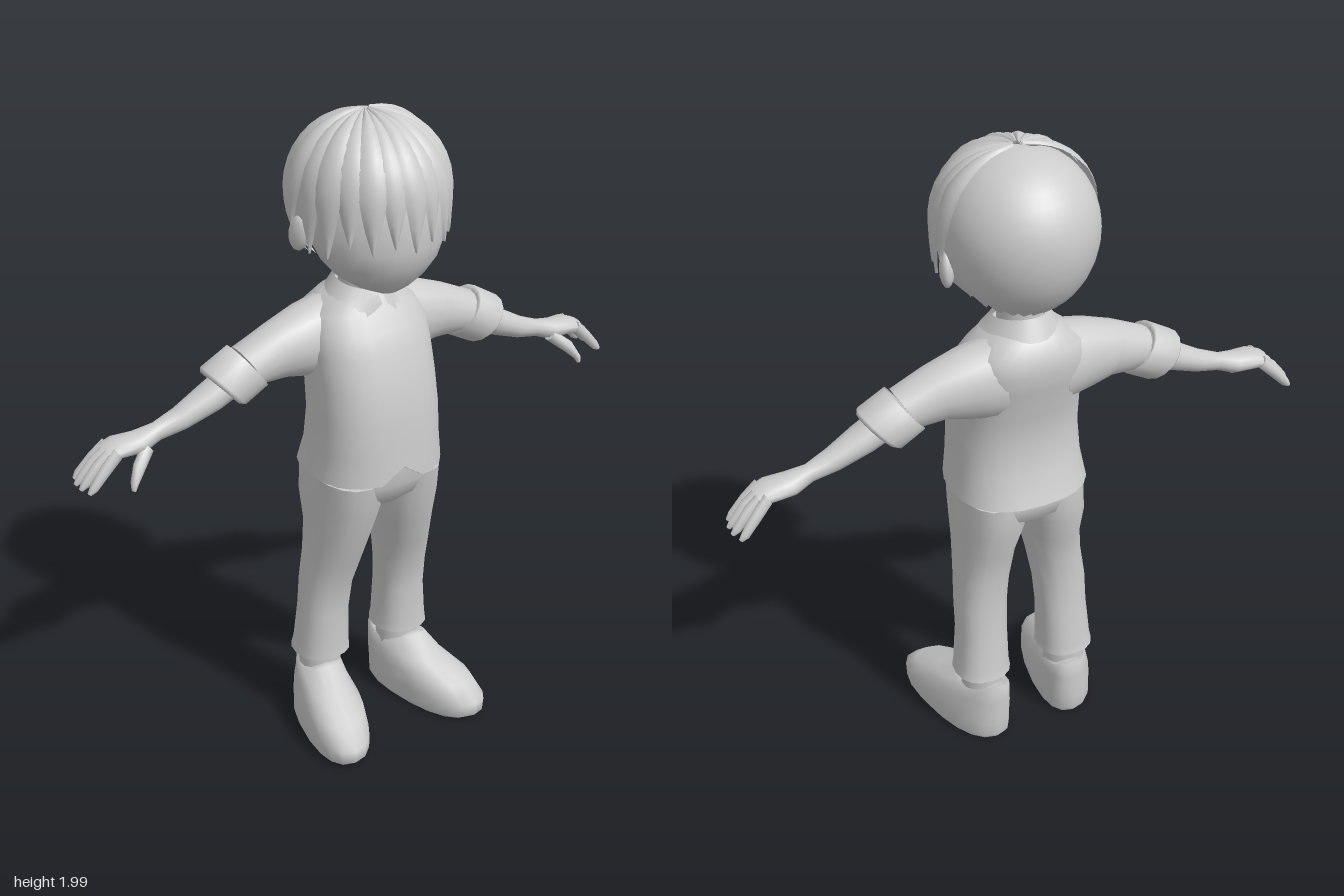
import * as THREE from 'three';

const grey = new THREE.MeshStandardMaterial({ color: 0xcccccc });
const greyThin = new THREE.MeshStandardMaterial({ color: 0xcccccc, side: THREE.DoubleSide });
const V = (x, y, z) => new THREE.Vector3(x, y, z);
const spow = (a, p) => Math.sign(a) * Math.abs(a) ** p;
const rad = THREE.MathUtils.degToRad;

// Closed cross-section around c; p below 1 makes it squarer
function ring(c, a, b, n, p = 1) {
  return Array.from({ length: n }, (_, i) => {
    const t = (i / n) * Math.PI * 2;
    return c.clone().addScaledVector(a, spow(Math.cos(t), p)).addScaledVector(b, spow(Math.sin(t), p));
  });
}
// Level section: height, centre x, half width, front z, back z
const level = (n, p) => ([y, cx, rx, zf, zb]) =>
  ring(V(cx, y, (zf + zb) / 2), V(0, 0, (zf - zb) / 2), V(rx, 0, 0), n, p);
// Limb section: top x, y, bottom x, y, centre z, half depth
const limb = (n) => ([tx, ty, bx, by, cz, rz]) =>
  ring(V((tx + bx) / 2, (ty + by) / 2, cz), V((tx - bx) / 2, (ty - by) / 2, 0), V(0, 0, rz), n);

// Skin over a row of sections, with flat end caps
function loft(rings) {
  const n = rings[0].length, pts = rings.flat(), index = [];
  for (let i = 0; i < rings.length - 1; i++)
    for (let j = 0; j < n; j++) {
      const k = (j + 1) % n, a = i * n + j, b = i * n + k;
      index.push(a, b, b + n, a, b + n, a + n);
    }
  [rings[0], rings[rings.length - 1]].forEach((r, end) => {
    const base = pts.length;
    const mid = r.reduce((s, q) => s.add(q), V(0, 0, 0)).divideScalar(n);
    pts.push(...r, mid);
    for (let j = 0; j < n; j++) {
      const a = base + j, b = base + ((j + 1) % n);
      index.push(base + n, end ? a : b, end ? b : a);
    }
  });
  const g = new THREE.BufferGeometry().setFromPoints(pts);
  g.setIndex(index);
  g.computeVertexNormals();
  return g;
}
// Thin sheet shaped by f(u, v)
function sheet(nu, nv, f) {
  const g = new THREE.PlaneGeometry(1, 1, nu, nv), pos = g.attributes.position, uv = g.attributes.uv;
  for (let i = 0; i < pos.count; i++) pos.setXYZ(i, ...f(uv.getX(i), uv.getY(i)));
  g.computeVertexNormals();
  return g;
}
function mirrored(geo) {
  const g = geo.clone().scale(-1, 1, 1), ix = g.index.array;
  for (let i = 0; i < ix.length; i += 3) [ix[i], ix[i + 1]] = [ix[i + 1], ix[i]];
  return g;
}

export function createModel() {
  const model = new THREE.Group();
  const add = (name, geo, mat = grey) => {
    const m = new THREE.Mesh(geo, mat);
    m.name = name;
    model.add(m);
  };
  const pair = (name, geo, mat) => {
    add('left' + name, geo, mat);
    add('right' + name, mirrored(geo), mat);
  };

  // Shirt body, with a notch at the front of the hem
  const shirt = [
    [0.91, 0, 0.212, 0.185, -0.205], [1.0, 0, 0.2, 0.18, -0.17], [1.1, 0, 0.196, 0.173, -0.152],
    [1.2, 0, 0.193, 0.157, -0.165], [1.3, 0, 0.195, 0.125, -0.19], [1.36, 0, 0.192, 0.1, -0.2],
    [1.41, 0, 0.17, 0.065, -0.193], [1.45, 0, 0.12, 0.045, -0.165], [1.475, 0, 0.08, 0.02, -0.13],
  ].map(level(24, 0.8));
  shirt[0][0].y += 0.05;
  add('shirt', loft(shirt));

  // Collar with two front points
  add('collar', sheet(30, 2, (u, v) => {
    const d = 4 + 352 * u, a = rad(d), side = Math.min(d, 360 - d);
    const low = 1.45 - 0.045 * Math.max(0, 1 - Math.abs(side - 28) / 28);
    const high = 1.495 - 0.015 * Math.cos(a);
    const r = 0.122 - 0.035 * v;
    return [Math.sin(a) * r * 0.95, low + (high - low) * v, -0.045 + Math.cos(a) * r];
  }), greyThin);
  add('neck', loft([[1.42, 0, 0.07, 0.02, -0.12], [1.6, 0, 0.068, 0.03, -0.12]].map(level(16))));

  // Sleeves and rolled cuffs
  pair('Sleeve', loft([
    [0.09, 1.455, 0.1, 1.19, -0.08, 0.1], [0.2, 1.43, 0.19, 1.21, -0.075, 0.096],
    [0.3, 1.395, 0.26, 1.225, -0.07, 0.08], [0.41, 1.345, 0.34, 1.225, -0.07, 0.072],
  ].map(limb(16))));
  pair('Cuff', loft([
    [0.42, 1.335, 0.335, 1.235, -0.07, 0.065], [0.427, 1.355, 0.325, 1.217, -0.07, 0.08],
    [0.512, 1.305, 0.4, 1.178, -0.07, 0.086], [0.515, 1.29, 0.42, 1.185, -0.07, 0.075],
    [0.49, 1.285, 0.42, 1.21, -0.07, 0.06],
  ].map(limb(16))));

  // Forearm and palm
  pair('Arm', loft([
    [0.44, 1.305, 0.4, 1.22, -0.065, 0.056], [0.53, 1.255, 0.48, 1.182, -0.065, 0.053],
    [0.61, 1.21, 0.585, 1.145, -0.067, 0.04], [0.68, 1.182, 0.665, 1.128, -0.07, 0.027],
    [0.74, 1.17, 0.72, 1.108, -0.07, 0.045], [0.8, 1.165, 0.785, 1.112, -0.073, 0.054],
    [0.84, 1.148, 0.815, 1.115, -0.074, 0.051],
  ].map(limb(14))));
  for (let i = 0; i < 4; i++) {
    const k = -0.112 + i * 0.026, tip = -0.135 + i * 0.036, s = [-0.012, 0, 0, -0.01][i];
    pair('Finger' + (i + 1), loft([
      [0.82, 1.155, 0.8, 1.12, k, 0.015], [0.872 + s, 1.115, 0.85 + s, 1.085, (k + tip) / 2, 0.015],
      [0.912 + s, 1.066, 0.893 + s, 1.045, tip, 0.012], [0.922 + s, 1.045, 0.912 + s, 1.036, tip, 0.006],
    ].map(limb(8))));
  }
  pair('Thumb', loft([
    [0.725, 1.145, 0.7, 1.115, -0.045, 0.022], [0.775, 1.105, 0.75, 1.075, -0.008, 0.02],
    [0.797, 1.06, 0.777, 1.05, 0.01, 0.014], [0.798, 1.04, 0.785, 1.035, 0.014, 0.007],
  ].map(limb(8))));

  // Trousers
  add('hips', loft([
    [0.8, 0, 0.13, 0.1, -0.12], [0.84, 0, 0.19, 0.145, -0.168], [0.89, 0, 0.2, 0.165, -0.177],
    [0.95, 0, 0.195, 0.17, -0.165],
  ].map(level(24, 0.8))));
  pair('TrouserLeg', loft([
    [0.24, 0.148, 0.09, 0.022, -0.158], [0.27, 0.147, 0.086, 0.02, -0.15], [0.4, 0.142, 0.08, 0.02, -0.135],
    [0.5, 0.138, 0.082, 0.035, -0.128], [0.6, 0.126, 0.082, 0.075, -0.13], [0.7, 0.113, 0.088, 0.11, -0.14],
    [0.8, 0.103, 0.1, 0.143, -0.175], [0.9, 0.1, 0.1, 0.16, -0.172],
  ].map(level(16, 0.85))));
  pair('Ankle', loft([[0.15, 0.148, 0.068, -0.005, -0.14], [0.27, 0.148, 0.068, -0.005, -0.14]].map(level(14))));

  // Shoes, turned outward, with an opening that dips at the sides
  const shoe = [
    [0.005, 0.183, 0.092, 0.25, -0.165], [0.02, 0.183, 0.1, 0.27, -0.173], [0.065, 0.183, 0.1, 0.275, -0.175],
    [0.115, 0.18, 0.096, 0.22, -0.173], [0.15, 0.178, 0.08, 0.1, -0.172], [0.2, 0.176, 0.07, 0.02, -0.17],
    [0.195, 0.174, 0.05, -0.01, -0.15],
  ].map(level(18, 0.85));
  shoe.forEach((r, i) => r.forEach((q, j) => {
    q.x += 0.2 * (q.z - 0.05);
    if (i > 4) q.y += 0.013 * Math.cos((j / 18) * Math.PI * 4);
  }));
  pair('Shoe', loft(shoe));

  // Head and ears
  add('head', loft([
    [1.492, 0, 0.035, 0.12, 0.06], [1.51, 0, 0.085, 0.145, -0.03], [1.545, 0, 0.135, 0.178, -0.08],
    [1.59, 0, 0.175, 0.202, -0.11], [1.64, 0, 0.197, 0.215, -0.14], [1.7, 0, 0.208, 0.215, -0.17],
    [1.78, 0, 0.21, 0.21, -0.2], [1.86, 0, 0.19, 0.175, -0.19], [1.92, 0, 0.14, 0.12, -0.15],
    [1.96, 0, 0.07, 0.05, -0.09],
  ].map(level(24))));
  pair('Ear', new THREE.SphereGeometry(1, 12, 8).scale(0.022, 0.055, 0.034)
    .rotateX(0.2).rotateY(-0.4).translate(0.217, 1.67, -0.03));

  // Back hair: half shell with a ragged nape
  add('backHair', sheet(28, 14, (u, v) => {
    const th = rad(80 + 200 * u), back = Math.max(0, -Math.cos(th));
    const tooth = Math.round(u * 28) % 2 ? 5 : -5;
    const t = rad(2 + (1 - v) * (114 + 30 * back ** 0.7 + tooth * (v < 0.01 ? 1 : 0)));
    const r = Math.sin(t) ** (t < Math.PI / 2 ? 0.92 : 1), c = Math.cos(t);
    return [0.225 * r * Math.sin(th), 1.76 + c * (c > 0 ? 0.225 : 0.26), -0.04 + 0.235 * r * Math.cos(th)];
  }), greyThin);

  // Fringe: pointed locks fanning forward from the crown
  for (let i = -6; i <= 6; i++) {
    const k = Math.abs(i), end = k === 6 ? 106 : k >= 4 ? 126 : 120 - (k % 2) * 5;
    const lift = k % 2 ? 0.985 : 1;
    add('fringeLock' + (i + 7), sheet(6, 12, (u, v) => {
      const s = 1 - v, w = 2 * u - 1;
      const taper = s < 0.55 ? 1 : 1 - ((s - 0.55) / 0.45) ** 1.6;
      const th = rad(i * 15.2 + w * 10 * taper), t = rad(2 + s * end);
      const sn = Math.sin(t), r = t < Math.PI / 2 ? sn ** 0.85 : 1 - 0.15 * (1 - sn);
      const bulge = lift * (0.965 + 0.035 * (1 - w * w));
      return [0.243 * r * bulge * Math.sin(th), 1.77 + 0.23 * Math.cos(t) * (s < 0.5 ? bulge : 1),
        -0.03 + 0.275 * r * bulge * Math.cos(th)];
    }), greyThin);
  }
  return model;
}
